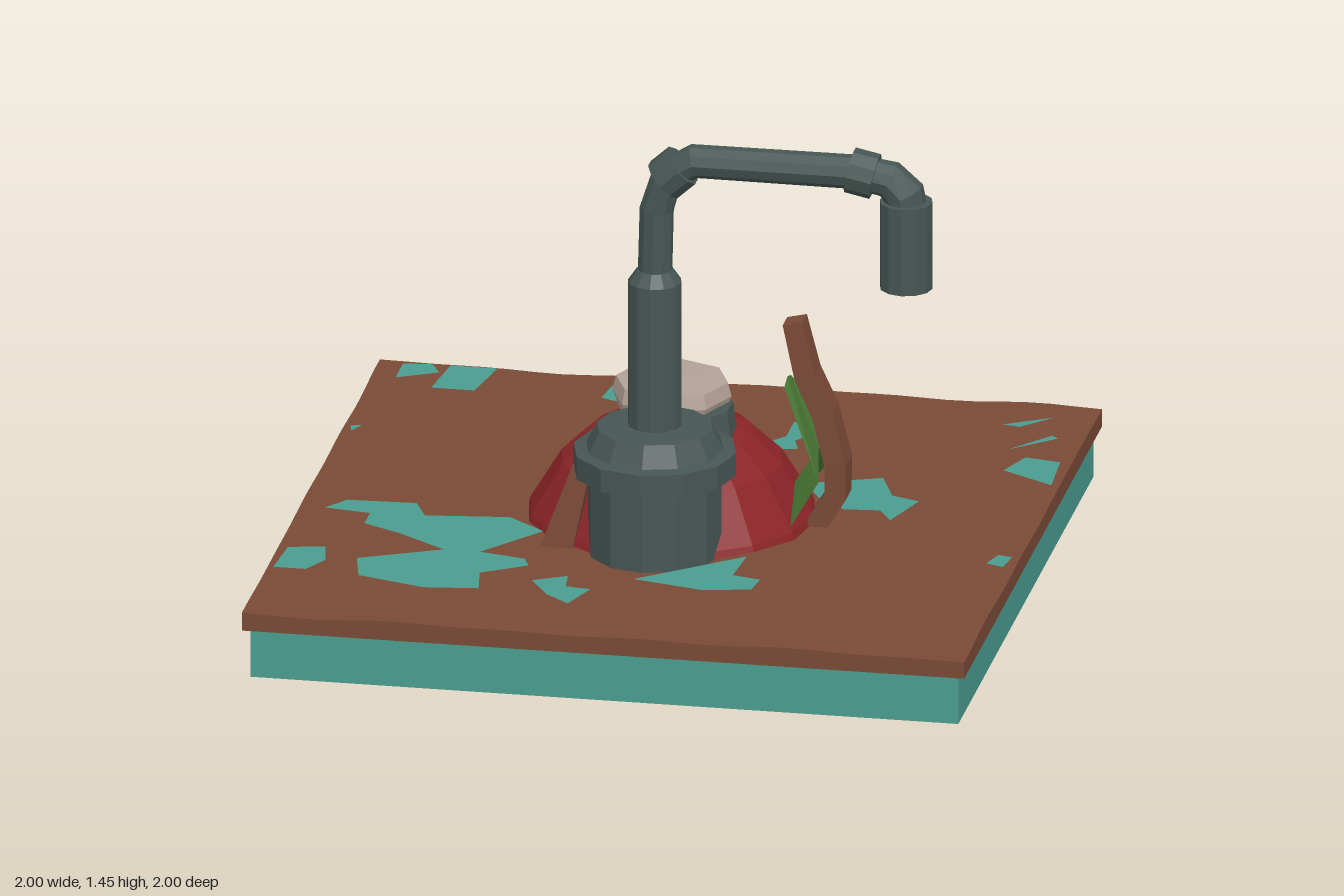
import * as THREE from 'three';

const mat = (name, color, side = THREE.FrontSide) => {
  const m = new THREE.MeshStandardMaterial({ color, side });
  m.name = name;
  return m;
};
const brown = mat('earth brown', 0x7a4a37);
const teal = mat('water teal', 0x4a9d90, THREE.DoubleSide);
const red = mat('dome red', 0x8c2427);
const iron = mat('iron grey', 0x475653);
const bone = mat('bone', 0xb3a197);
const green = mat('leaf green', 0x4b7a35, THREE.DoubleSide);

// Faceted copy of a geometry
function facet(geo) {
  const g = geo.index ? geo.toNonIndexed() : geo;
  g.computeVertexNormals();
  return g;
}

const lathe = (profile, sides) =>
  facet(new THREE.LatheGeometry(profile.map(([r, y]) => new THREE.Vector2(r, y)), sides));

// Mitred sweep along points [x, y, half width, half depth] in the xy plane
function sweep(points, sides) {
  const pos = [], idx = [], n = points.length;
  const k = 1 / Math.cos(Math.PI / sides);
  const dir = (a, b) => new THREE.Vector2(b[0] - a[0], b[1] - a[1]).normalize();
  points.forEach((p, i) => {
    const d0 = dir(points[Math.max(i - 1, 0)], points[Math.max(i, 1)]);
    const d1 = dir(points[Math.min(i, n - 2)], points[Math.min(i + 1, n - 1)]);
    const t = d0.add(d1).normalize();
    for (let j = 0; j < sides; j++) {
      const a = ((j + 0.5) / sides) * Math.PI * 2;
      const u = Math.cos(a) * p[2] * k, w = Math.sin(a) * (p[3] ?? p[2]) * k;
      pos.push(p[0] - t.y * u, p[1] + t.x * u, w);
    }
  });
  for (let i = 0; i < n - 1; i++) {
    for (let j = 0; j < sides; j++) {
      const a = i * sides + j, b = i * sides + ((j + 1) % sides);
      idx.push(a, b, b + sides, a, b + sides, a + sides);
    }
  }
  const e = (n - 1) * sides;
  for (let j = 1; j < sides - 1; j++) idx.push(0, j + 1, j, e, e + j, e + j + 1);
  const g = new THREE.BufferGeometry();
  g.setAttribute('position', new THREE.Float32BufferAttribute(pos, 3));
  g.setIndex(idx);
  return facet(g);
}

// Flat outline in hundredths, laid in the xz plane
function outline(pts) {
  const v = [];
  for (let i = 0; i < pts.length; i += 2) v.push(new THREE.Vector2(pts[i] / 100, -pts[i + 1] / 100));
  return new THREE.Shape(v);
}

export function createModel() {
  const model = new THREE.Group();
  const add = (name, geo, material, x = 0, y = 0, z = 0, parent = model) => {
    const m = new THREE.Mesh(geo, material);
    m.name = name;
    m.position.set(x, y, z);
    parent.add(m);
    return m;
  };

  // Ground slab with a gently rolling top
  const ground = new THREE.BoxGeometry(2, 0.05, 2, 28, 1, 28);
  const gp = ground.attributes.position;
  for (let i = 0; i < gp.count; i++) {
    if (gp.getY(i) < 0) continue;
    const x = gp.getX(i), z = gp.getZ(i);
    const h = Math.sin(x * 9 + z * 3) * Math.cos(z * 8 - x * 2) + 0.6 * Math.sin(x * 17 - z * 13);
    gp.setY(i, 0.026 + 0.0035 * h);
  }
  ground.computeVertexNormals();
  add('ground', ground, brown, 0, 0.225, 0);

  // Open water walls below the slab
  const w = 0.98 * Math.SQRT2;
  add('waterWalls', facet(new THREE.CylinderGeometry(w, w, 0.15, 4, 1, true, Math.PI / 4)), teal, 0, 0.135, 0);

  // Water puddles
  const puddles = new THREE.Group();
  puddles.name = 'puddles';
  model.add(puddles);
  const puddle = (...pts) => {
    const g = new THREE.ShapeGeometry(outline(pts)).rotateX(-Math.PI / 2);
    add('puddle', g, teal, 0, 0.2585, 0, puddles);
  };
  puddle(-93, 17, -88, 10, -69, 9, -65, 18, -42, 15, -31, 24, -45, 43, -32, 46, -30, 51, -42, 59,
    -40, 71, -55, 73, -74, 67, -77, 54, -55, 43, -69, 33, -80, 27, -80, 19);
  puddle(-31, -98, -13, -98, -3, -91, -13, -66, -7, -53, -15, -35, -24, -35, -21, -47, -26, -50,
    -26, -62, -33, -63, -26, -77, -35, -81, -34, -90);
  puddle(20, -72, 28, -75, 28, -66, 23, -58, 25, -52, 10, -48, 20, -61);
  puddle(32, -26, 52, -34, 57, -21, 65, -18, 60, -2, 56, -9, 46, -8, 38, -15);
  puddle(0, 56, 27, 33, 26, 48, 34, 50, 33, 58, 20, 61);
  puddle(-27, 62, -18, 57, -17, 65, -10, 66, -14, 78, -21, 72);
  puddle(-97, 49, -87, 47, -85, 57, -89, 65, -98, 65);
  puddle(-80, -98, -67, -98, -70, -80, -82, -80);
  puddle(-93, -97, -85, -98, -82, -92, -93, -86);
  puddle(87, -57, 97, -55, 98, -37, 83, -46);
  puddle(76, -81, 89, -89, 81, -80);
  puddle(91, -75, 93, -73, 81, -62);
  puddle(94, 19, 98, 20, 97, 28, 92, 26);
  puddle(-98, -47, -95, -48, -97, -43);

  // Root mass and spike under the slab
  add('rootMass', lathe([[0, 0.015], [0.3, 0.02], [0.44, 0.025], [0.48, 0.05], [0.54, 0.2]], 12), brown);
  const spike = new THREE.ExtrudeGeometry(outline([-18, 80, -38, 25, 25, 30, 0, 46]),
    { depth: 0.05, bevelEnabled: false }).rotateX(-Math.PI / 2);
  add('rootSpike', facet(spike), brown, 0, 0.003, 0);

  // Faceted dome with a grey seat and pale cap
  add('dome', lathe([[0.4, 0.24], [0.39, 0.27], [0.305, 0.41], [0.225, 0.485], [0.12, 0.54], [0, 0.55]], 16), red);
  add('capSeat', facet(new THREE.CylinderGeometry(0.14, 0.16, 0.14, 10)), iron, 0.035, 0.51, 0.04);
  add('cap', lathe([[0.13, 0.5], [0.165, 0.595], [0.155, 0.635], [0, 0.64]], 8), bone);

  // Tank with collar and riser
  add('tank', lathe([[0.185, 0.23], [0.185, 0.48], [0.225, 0.48], [0.225, 0.545], [0.19, 0.55],
    [0.16, 0.61], [0.074, 0.615], [0.074, 1.03], [0.05, 1.065], [0, 1.065]], 12), iron, 0.01, 0, 0.3);

  // Bent pipe, its two joint rings and the spout
  add('pipe', sweep([[0.01, 1.04, 0.045], [0.015, 1.24, 0.045], [0.045, 1.34, 0.045],
    [0.12, 1.385, 0.045], [0.57, 1.385, 0.045], [0.66, 1.37, 0.05], [0.7, 1.33, 0.055],
    [0.706, 1.29, 0.055]], 10), iron, 0, 0, 0.3);
  add('lowerRing', sweep([[0.035, 1.325, 0.06], [0.085, 1.37, 0.06]], 10), iron, 0, 0, 0.3);
  add('upperRing', sweep([[0.55, 1.39, 0.06], [0.62, 1.375, 0.06]], 10), iron, 0, 0, 0.3);
  add('spout', facet(new THREE.CylinderGeometry(0.073, 0.073, 0.25, 12)), iron, 0.706, 1.185, 0.3);

  // Curved stem beside the dome and a short stake behind the tank
  add('stem', sweep([[0.4, 0.24, 0.03, 0.045], [0.46, 0.34, 0.03, 0.045], [0.46, 0.43, 0.03, 0.045],
    [0.425, 0.57, 0.03, 0.043], [0.375, 0.68, 0.03, 0.04], [0.34, 0.83, 0.028, 0.033]], 4), brown);
  add('stake', sweep([[-0.26, 0.23, 0.045], [-0.19, 0.48, 0.025]], 4), brown, 0, 0, 0.3);

  // Folded leaf: rows of [mid x, mid y, edge x, edge y, half width]
  const rows = [[0.34, 0.36, 0.37, 0.31, 0.22], [0.405, 0.46, 0.44, 0.43, 0.18], [0.32, 0.665, 0.32, 0.65, 0.05]];
  const pos = [], idx = [];
  rows.forEach(([mx, my, ex, ey, h]) => pos.push(ex, ey, h, mx, my, 0, ex, ey, -h));
  for (let r = 0; r < 2; r++) {
    for (let c = 0; c < 2; c++) {
      const a = r * 3 + c;
      idx.push(a, a + 1, a + 4, a, a + 4, a + 3);
    }
  }
  const leaf = new THREE.BufferGeometry();
  leaf.setAttribute('position', new THREE.Float32BufferAttribute(pos, 3));
  leaf.setIndex(idx);
  add('leaf', facet(leaf), green);

  return model;
}
